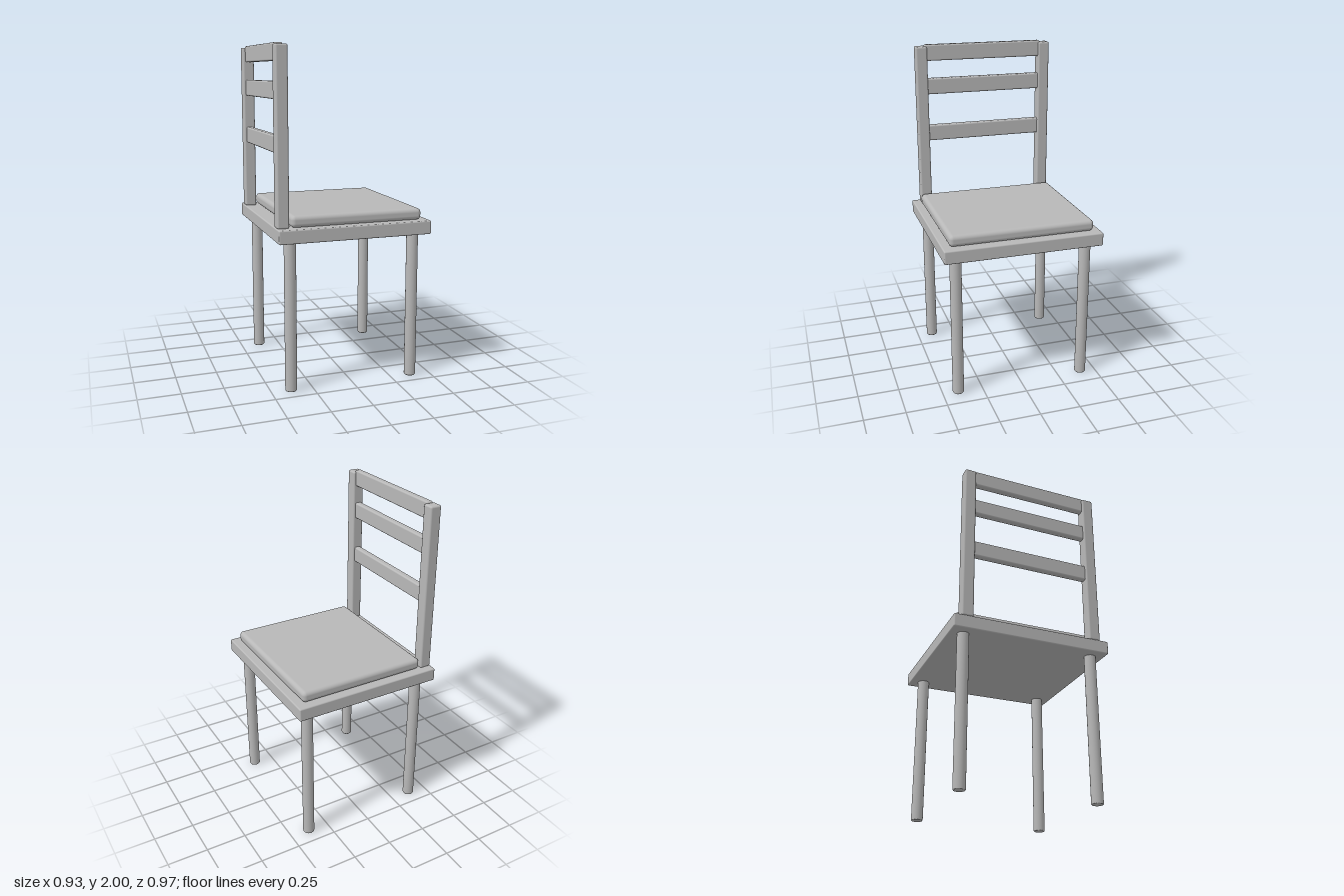
import * as THREE from 'three';
import { RoundedBoxGeometry } from 'three/addons/geometries/RoundedBoxGeometry.js';

export function createModel() {
  const chair = new THREE.Group();
  chair.name = 'chair';
  const grey = new THREE.MeshStandardMaterial({ color: 0xb8b8b8 });
  grey.name = 'plain grey';

  // Rounded box given by its extents on each axis
  function slab(name, [x0, x1], [y0, y1], [z0, z1], radius) {
    const geometry = new RoundedBoxGeometry(x1 - x0, y1 - y0, z1 - z0, 3, radius);
    const mesh = new THREE.Mesh(geometry, grey);
    mesh.position.set((x0 + x1) / 2, (y0 + y1) / 2, (z0 + z1) / 2);
    mesh.name = name;
    chair.add(mesh);
  }

  // Seat board and cushion
  slab('seat', [-0.465, 0.465], [0.895, 0.976], [-0.486, 0.486], 0.008);
  slab('cushion', [-0.38, 0.42], [0.976, 1.045], [-0.443, 0.443], 0.025);

  // Round legs with softly bevelled ends
  const profile = [[0, 0], [0.031, 0], [0.035, 0.005], [0.035, 0.9], [0, 0.9]];
  const legGeometry = new THREE.LatheGeometry(profile.map(([r, y]) => new THREE.Vector2(r, y)), 24);
  for (const x of [-0.381, 0.379]) {
    for (const z of [-0.403, 0.403]) {
      const leg = new THREE.Mesh(legGeometry, grey);
      leg.position.set(x, 0, z);
      leg.name = 'leg';
      chair.add(leg);
    }
  }

  // Backrest along the -x edge: two posts and three rails
  slab('leftPost', [-0.461, -0.39], [0.974, 1.99], [-0.44, -0.368], 0.011);
  slab('rightPost', [-0.461, -0.39], [0.974, 1.99], [0.365, 0.437], 0.011);
  for (const y of [1.39, 1.69, 1.9]) {
    slab('backRail', [-0.446, -0.404], [y, y + 0.1], [-0.381, 0.379], 0.01);
  }

  return chair;
}
